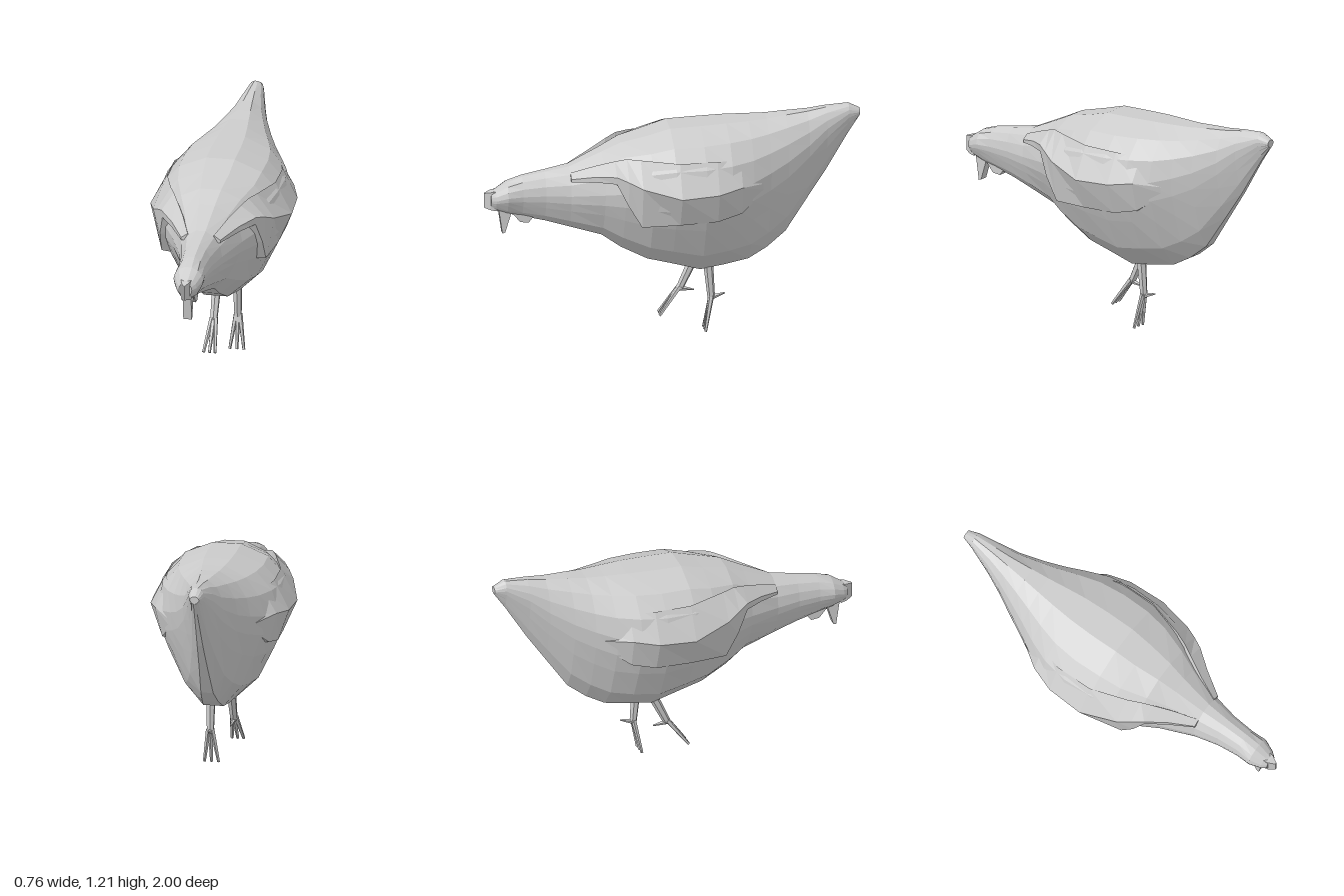
import * as THREE from 'three';

const material = new THREE.MeshStandardMaterial({ color: 0xcccccc, flatShading: true });

function addMesh(parent, geometry, name) {
  const mesh = new THREE.Mesh(geometry, material);
  mesh.name = name;
  parent.add(mesh);
  return mesh;
}

// Skins rings of [x, y, z] points: back to front, counterclockwise seen from +z.
function loft(rings) {
  const n = rings[0].length;
  const positions = rings.flat(2);
  const index = [];
  for (let i = 0; i < rings.length - 1; i++) {
    for (let j = 0; j < n; j++) {
      const a = i * n + j, b = i * n + (j + 1) % n;
      index.push(a, b, b + n, a, b + n, a + n);
    }
  }
  const last = (rings.length - 1) * n;
  for (let j = 1; j < n - 1; j++) {
    index.push(0, j + 1, j, last, last + j, last + j + 1);
  }
  const geometry = new THREE.BufferGeometry();
  geometry.setAttribute('position', new THREE.Float32BufferAttribute(positions, 3));
  geometry.setIndex(index);
  geometry.computeVertexNormals();
  return geometry;
}

// Half cross-section, bottom to top: [width fraction, height fraction from widest line].
const HALF = [[0.2, -1], [0.56, -0.76], [0.8, -0.42], [0.95, -0.17],
  [1, 0.08], [0.9, 0.47], [0.64, 0.8], [0.22, 1]];

function bodyRing([z, top, bottom, width, wideY]) {
  const half = HALF.map(([fx, fy]) =>
    [fx * width, wideY + fy * (fy > 0 ? top - wideY : wideY - bottom), z]);
  return [...half, ...half.map(([x, y]) => [-x, y, z]).reverse()];
}

// Body stations: z, top, bottom, half width, height of the widest line.
const BODY = [
  [-1.0, 1.19, 1.15, 0.025, 1.17],
  [-0.94, 1.22, 1.06, 0.042, 1.17],
  [-0.82, 1.21, 0.86, 0.075, 1.1],
  [-0.72, 1.195, 0.71, 0.11, 1.02],
  [-0.6, 1.185, 0.53, 0.165, 0.95],
  [-0.5, 1.175, 0.45, 0.215, 0.91],
  [-0.4, 1.172, 0.395, 0.27, 0.88],
  [-0.28, 1.17, 0.375, 0.325, 0.87],
  [-0.14, 1.165, 0.355, 0.35, 0.86],
  [0.02, 1.16, 0.4, 0.345, 0.86],
  [0.14, 1.125, 0.43, 0.32, 0.86],
  [0.28, 1.09, 0.5, 0.25, 0.85],
  [0.38, 1.04, 0.57, 0.19, 0.83],
  [0.55, 0.96, 0.62, 0.115, 0.81],
  [0.68, 0.935, 0.66, 0.085, 0.81],
  [0.8, 0.912, 0.69, 0.075, 0.81],
  [0.88, 0.885, 0.71, 0.08, 0.81],
  [0.94, 0.845, 0.73, 0.055, 0.79],
  [0.965, 0.83, 0.74, 0.035, 0.785],
];

// Wing stations: z, then x, y of the lower inner, lower outer, middle and upper points.
const WING = [
  [-0.47, 0.18, 0.84, 0.22, 0.84, 0.225, 0.88, 0.19, 0.93],
  [-0.33, 0.22, 0.73, 0.285, 0.74, 0.325, 0.9, 0.25, 1.03],
  [-0.2, 0.24, 0.7, 0.31, 0.71, 0.37, 0.88, 0.29, 1.04],
  [0.0, 0.23, 0.685, 0.305, 0.7, 0.38, 0.87, 0.29, 1.04],
  [0.2, 0.19, 0.68, 0.28, 0.69, 0.325, 0.92, 0.23, 1.05],
  [0.27, 0.15, 0.8, 0.275, 0.81, 0.29, 0.95, 0.2, 1.05],
  [0.33, 0.12, 0.91, 0.25, 0.93, 0.255, 0.97, 0.17, 1.03],
  [0.43, 0.09, 0.91, 0.18, 0.92, 0.18, 0.95, 0.12, 0.99],
  [0.55, 0.06, 0.9, 0.105, 0.9, 0.105, 0.915, 0.07, 0.94],
];

function wingGeometry(side) {
  return loft(WING.map(([z, ...p]) => {
    const ring = [];
    for (let i = 0; i < p.length; i += 2) ring.push([side * p[i], p[i + 1], z]);
    return side > 0 ? ring : ring.reverse();
  }));
}

// Tapered limb between two points.
function addLimb(parent, from, to, r0, r1, name, sides = 5) {
  const a = new THREE.Vector3(...from), b = new THREE.Vector3(...to);
  const d = b.clone().sub(a);
  const mesh = addMesh(parent, new THREE.CylinderGeometry(r1, r0, d.length(), sides), name);
  mesh.position.copy(a).add(b).multiplyScalar(0.5);
  mesh.quaternion.setFromUnitVectors(new THREE.Vector3(0, 1, 0), d.normalize());
}

// Leg with three front toes and a rear toe.
function addLeg(parent, name, hip, ankle, tip, spread, rear) {
  const leg = new THREE.Group();
  leg.name = name;
  parent.add(leg);
  addLimb(leg, hip, ankle, 0.027, 0.02, 'shank', 6);
  for (const s of [-1, 0, 1]) {
    const start = [ankle[0] + s * 0.01, ankle[1] + 0.012, ankle[2]];
    addLimb(leg, start, [tip[0] + s * spread, tip[1], tip[2]], 0.014, 0.008, 'frontToe');
  }
  addLimb(leg, ankle, rear, 0.015, 0.004, 'rearToe');
}

export function createModel() {
  const bird = new THREE.Group();
  bird.name = 'bird';

  addMesh(bird, loft(BODY.map(bodyRing)), 'body');
  addMesh(bird, wingGeometry(1), 'leftWing');
  addMesh(bird, wingGeometry(-1), 'rightWing');

  // Blunt beak narrowing to an upright edge
  const beakRing = (z, w, y0, y1) => [[w, y0, z], [w, y1, z], [-w, y1, z], [-w, y0, z]];
  addMesh(bird, loft([beakRing(0.93, 0.03, 0.73, 0.838),
    beakRing(0.965, 0.024, 0.735, 0.835), beakRing(1, 0.004, 0.745, 0.825)]), 'beak');

  // Flaps hanging under the head
  const flap = (points, width, name) => {
    const shape = new THREE.Shape(points.map(([z, y]) => new THREE.Vector2(-z, y)));
    const geometry = new THREE.ExtrudeGeometry(shape, { depth: width, bevelEnabled: false });
    geometry.translate(0, 0, -width / 2).rotateY(Math.PI / 2);
    addMesh(bird, geometry, name);
  };
  flap([[0.925, 0.74], [0.905, 0.6], [0.89, 0.605], [0.855, 0.72]], 0.045, 'frontWattle');
  flap([[0.86, 0.72], [0.81, 0.66], [0.765, 0.655], [0.73, 0.7]], 0.05, 'rearWattle');

  addLeg(bird, 'leftLeg', [0.05, 0.4, -0.185], [0.05, 0.185, -0.203],
    [0.05, 0.008, -0.167], 0.038, [0.05, 0.207, -0.275]);
  addLeg(bird, 'rightLeg', [-0.05, 0.41, -0.142], [-0.05, 0.21, -0.05],
    [-0.052, 0.07, 0.06], 0.031, [-0.045, 0.197, -0.125]);

  return bird;
}
